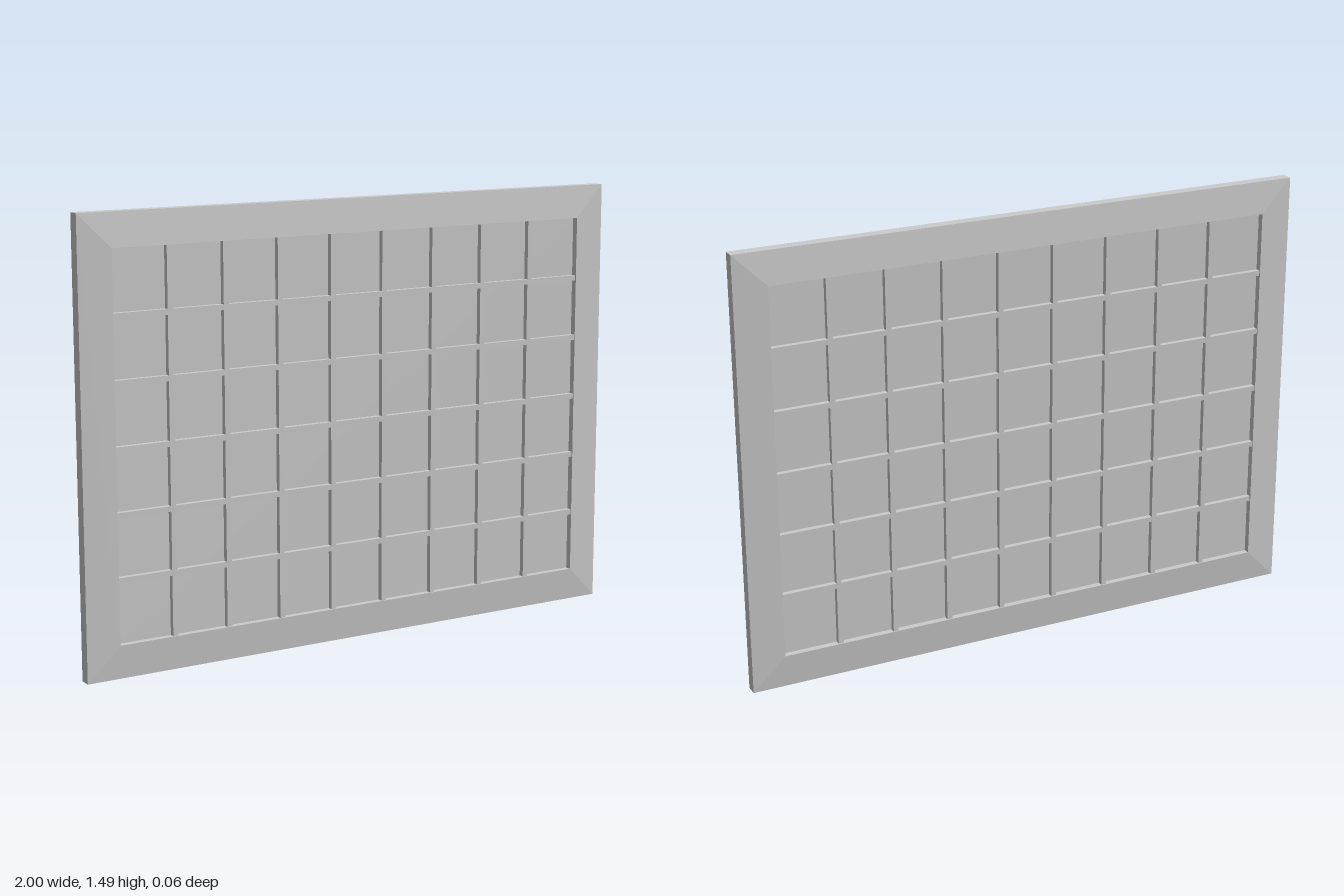
import * as THREE from 'three';

const W = 2, H = 1.486;            // outer size
const RIM = 0.112;                 // frame width
const EDGE = 0.02, LIP = 0.029;    // half depth at the outer edge and at the opening
const COLS = 9, ROWS = 6;
const BAR = 0.018, BAR_DEPTH = 0.05, GLASS_DEPTH = 0.014;

// Sweep a closed section of [inset, z] points around the rectangle with mitred corners.
function rectangularRing(section) {
  const corners = [[-1, -1], [1, -1], [1, 1], [-1, 1]];
  const point = (corner, [inset, z]) =>
    [corner[0] * (W / 2 - inset), corner[1] * (H / 2 - inset), z];
  const positions = [];
  for (let i = 0; i < 4; i++) {
    const c0 = corners[i], c1 = corners[(i + 1) % 4];
    section.forEach((s0, j) => {
      const s1 = section[(j + 1) % section.length];
      const a = point(c0, s0), b = point(c1, s0), c = point(c1, s1), d = point(c0, s1);
      positions.push(...a, ...b, ...c, ...a, ...c, ...d);
    });
  }
  const geometry = new THREE.BufferGeometry();
  geometry.setAttribute('position', new THREE.Float32BufferAttribute(positions, 3));
  geometry.computeVertexNormals();
  return geometry;
}

export function createModel() {
  const group = new THREE.Group();
  group.name = 'window';
  const material = new THREE.MeshStandardMaterial({ color: 0xcccccc, flatShading: true });
  const add = (name, geometry, x = 0, y = 0) => {
    const mesh = new THREE.Mesh(geometry, material);
    mesh.name = name;
    mesh.position.set(x, y + H / 2, 0);
    group.add(mesh);
  };

  // Frame, thickening from the outer edge to the opening
  add('frame', rectangularRing([[0, -EDGE], [0, EDGE], [RIM, LIP], [RIM, -LIP]]));

  // Glass pane
  const w = W - 2 * RIM, h = H - 2 * RIM;
  add('glass', new THREE.BoxGeometry(w, h, GLASS_DEPTH));

  // Glazing bars, standing out on both faces
  for (let i = 1; i < COLS; i++)
    add('verticalBar', new THREE.BoxGeometry(BAR, h, BAR_DEPTH), (i / COLS - 0.5) * w);
  for (let j = 1; j < ROWS; j++)
    add('horizontalBar', new THREE.BoxGeometry(w, BAR, BAR_DEPTH), 0, (j / ROWS - 0.5) * h);

  return group;
}
